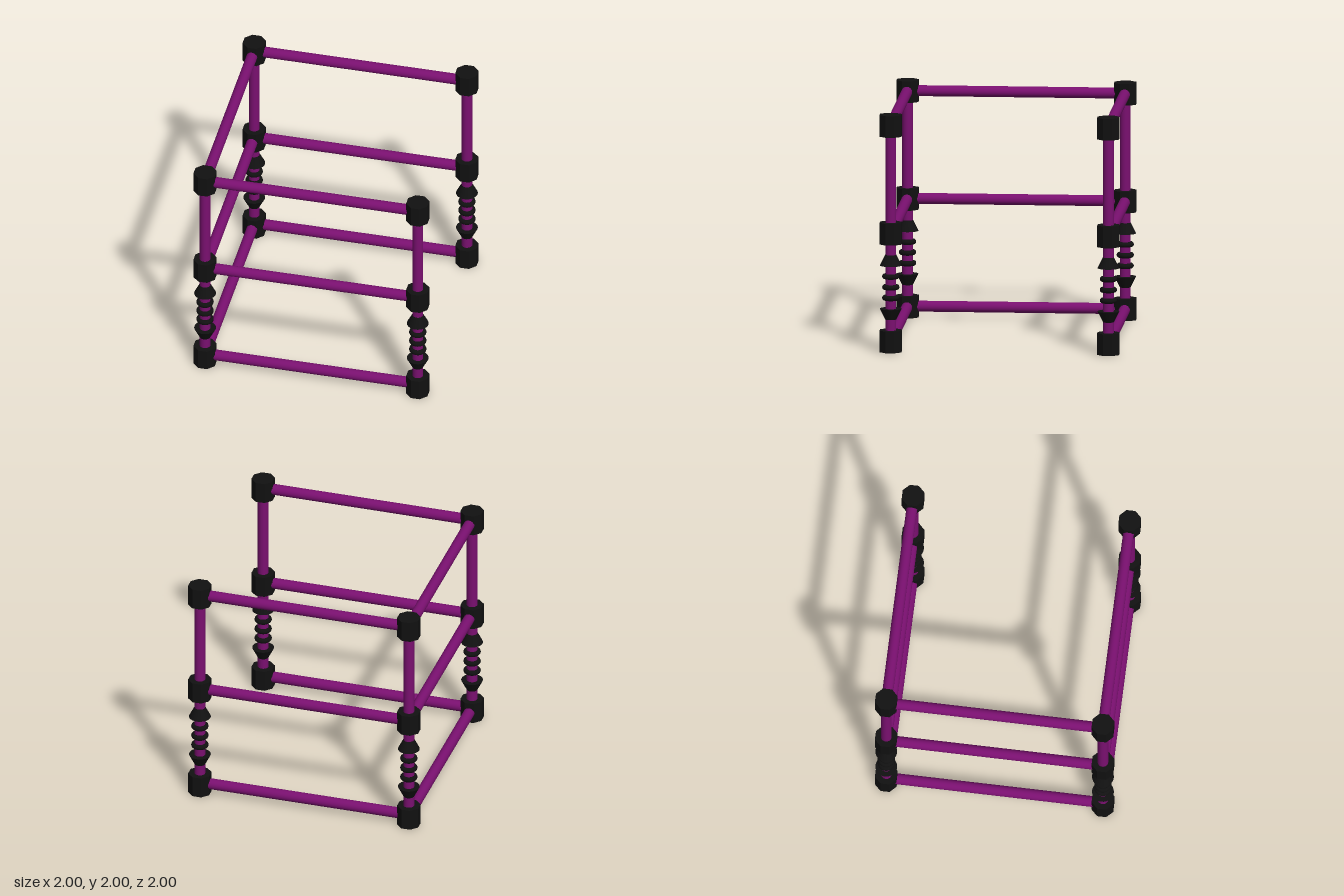
import * as THREE from 'three';

const P = 0.909;        // post offset from the centre
const PIPE_R = 0.0455;  // pipe radius
const HALF = 0.091;     // connector half size
const LEVELS = [HALF, 1, 2 - HALF];

export function createModel() {
  const model = new THREE.Group();
  const purple = new THREE.MeshStandardMaterial({ color: 0x7a1070 });
  const black = new THREE.MeshStandardMaterial({ color: 0x111111 });
  const blackFlat = new THREE.MeshStandardMaterial({ color: 0x111111, flatShading: true });

  function add(parent, name, geometry, material, x, y, z) {
    const mesh = new THREE.Mesh(geometry, material);
    mesh.name = name;
    mesh.position.set(x, y, z);
    parent.add(mesh);
    return mesh;
  }

  const pipe = new THREE.CylinderGeometry(PIPE_R, PIPE_R, 2 * P, 32);
  // Octagonal connector with its flats facing the rails
  const connector = new THREE.CylinderGeometry(HALF / Math.cos(Math.PI / 8), HALF / Math.cos(Math.PI / 8), 2 * HALF, 8);
  connector.rotateY(Math.PI / 8);
  const lowerCone = new THREE.CylinderGeometry(HALF, PIPE_R, 0.091, 32);
  const upperCone = new THREE.CylinderGeometry(PIPE_R, HALF, 0.091, 32);
  const ring = new THREE.TorusGeometry(0.05, 0.0225, 12, 32);
  ring.rotateX(Math.PI / 2);

  // Four posts with connectors, cones and rings
  for (const x of [-P, P]) {
    for (const z of [-P, P]) {
      const post = new THREE.Group();
      post.name = 'post';
      post.position.set(x, 0, z);
      add(post, 'postPipe', pipe, purple, 0, 1, 0);
      for (const y of LEVELS) add(post, 'connector', connector, blackFlat, 0, y, 0);
      add(post, 'lowerCone', lowerCone, black, 0, 0.318, 0);
      add(post, 'upperCone', upperCone, black, 0, 0.773, 0);
      for (const y of [0.455, 0.545, 0.636]) add(post, 'ring', ring, black, 0, y, 0);
      model.add(post);
    }
  }

  // Rails on three sides at each level; the +x side stays open
  for (const y of LEVELS) {
    add(model, 'frontRail', pipe, purple, 0, y, P).rotation.z = Math.PI / 2;
    add(model, 'backRail', pipe, purple, 0, y, -P).rotation.z = Math.PI / 2;
    add(model, 'sideRail', pipe, purple, -P, y, 0).rotation.x = Math.PI / 2;
  }
  return model;
}
